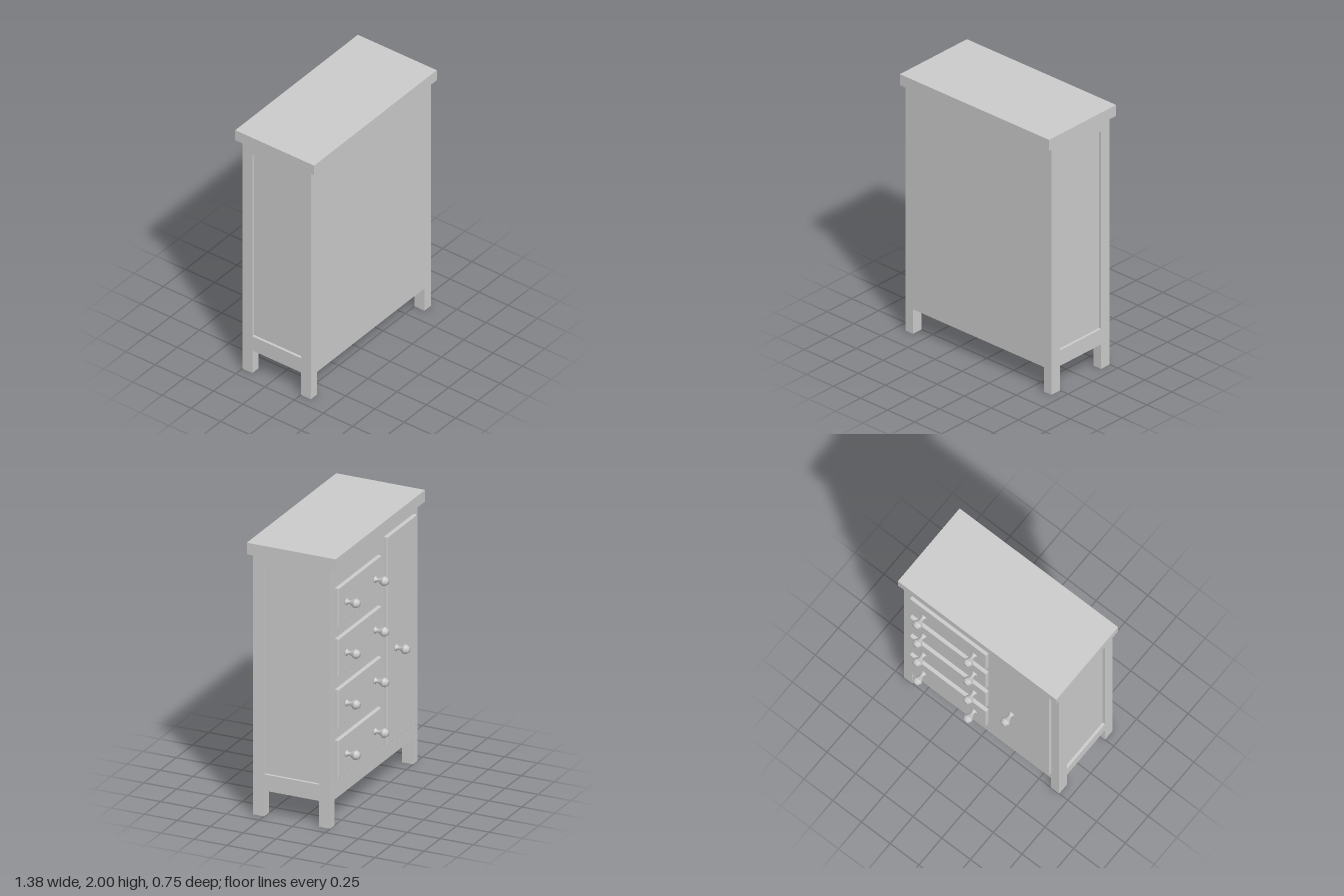
import * as THREE from 'three';

const material = new THREE.MeshStandardMaterial({ color: 0xcccccc });

export function createModel() {
  const cabinet = new THREE.Group();
  cabinet.name = 'cabinet';

  const add = (name, geometry) => {
    const mesh = new THREE.Mesh(geometry, material);
    mesh.name = name;
    cabinet.add(mesh);
    return mesh;
  };

  // Box given by its limits on each axis
  const box = (name, x0, x1, y0, y1, z0, z1) => {
    const mesh = add(name, new THREE.BoxGeometry(x1 - x0, y1 - y0, z1 - z0));
    mesh.position.set((x0 + x1) / 2, (y0 + y1) / 2, (z0 + z1) / 2);
  };

  const W = 0.675, inner = 0.605;            // half width, inside of the posts
  const zBack = -0.25, zFront = 0.335;       // body depth
  const postBack = -0.165, postFront = 0.25; // inside faces of the posts
  const bottom = 0.19, top = 1.915;

  // Body and overhanging top
  box('body', -inner, inner, bottom, top, zBack, zFront);
  box('topBoard', -0.69, 0.69, top, 2, -0.3, 0.375);

  // Corner posts with feet, and the framed, recessed side panels
  for (const s of [-1, 1]) {
    const side = (name, a, b, ...rest) => box(name, Math.min(s * a, s * b), Math.max(s * a, s * b), ...rest);
    side('backPost', inner, W, 0, top, zBack, postBack);
    side('frontPost', inner, W, 0, top, postFront, zFront);
    side('lowerSideRail', inner, W, bottom, 0.31, postBack, postFront);
    side('upperSideRail', inner, W, 1.845, top, postBack, postFront);
    side('sidePanel', inner, 0.655, 0.31, 1.845, postBack, postFront);
  }

  // Raised fronts with a small chamfer, facing -z
  const raisedFront = (name, x0, x1, y0, y1) => {
    const c = 0.005, w = (x1 - x0) / 2 - c, h = (y1 - y0) / 2 - c;
    const shape = new THREE.Shape([
      new THREE.Vector2(-w, -h), new THREE.Vector2(w, -h),
      new THREE.Vector2(w, h), new THREE.Vector2(-w, h),
    ]);
    const geometry = new THREE.ExtrudeGeometry(shape, {
      depth: 0.026, bevelEnabled: true, bevelThickness: c, bevelSize: c, bevelSegments: 1,
    });
    const mesh = add(name, geometry);
    mesh.position.set((x0 + x1) / 2, (y0 + y1) / 2, -0.271);
  };

  // Turned knob: base ring, thin stem, faceted head
  const profile = [
    [0, 0], [0.026, 0], [0.026, 0.007], [0.015, 0.013], [0.014, 0.036],
    [0.036, 0.07], [0.035, 0.078], [0.021, 0.102], [0, 0.103],
  ].map(([r, y]) => new THREE.Vector2(r, y));
  const knobGeometry = new THREE.LatheGeometry(profile, 8);
  knobGeometry.rotateX(-Math.PI / 2);
  const knob = (name, x, y) => add(name, knobGeometry).position.set(x, y, -0.275);

  // Four drawers with two knobs each
  for (let i = 0; i < 4; i++) {
    const y = 1.607 - i * 0.373;
    raisedFront('drawer', -0.06, 0.605, y - 0.14, y + 0.14);
    for (const x of [0.04, 0.48]) knob('drawerKnob', x, y);
  }

  // Tall door beside the drawers
  raisedFront('door', -0.61, -0.15, 0.31, 1.845);
  knob('doorKnob', -0.285, 0.985);

  return cabinet;
}
